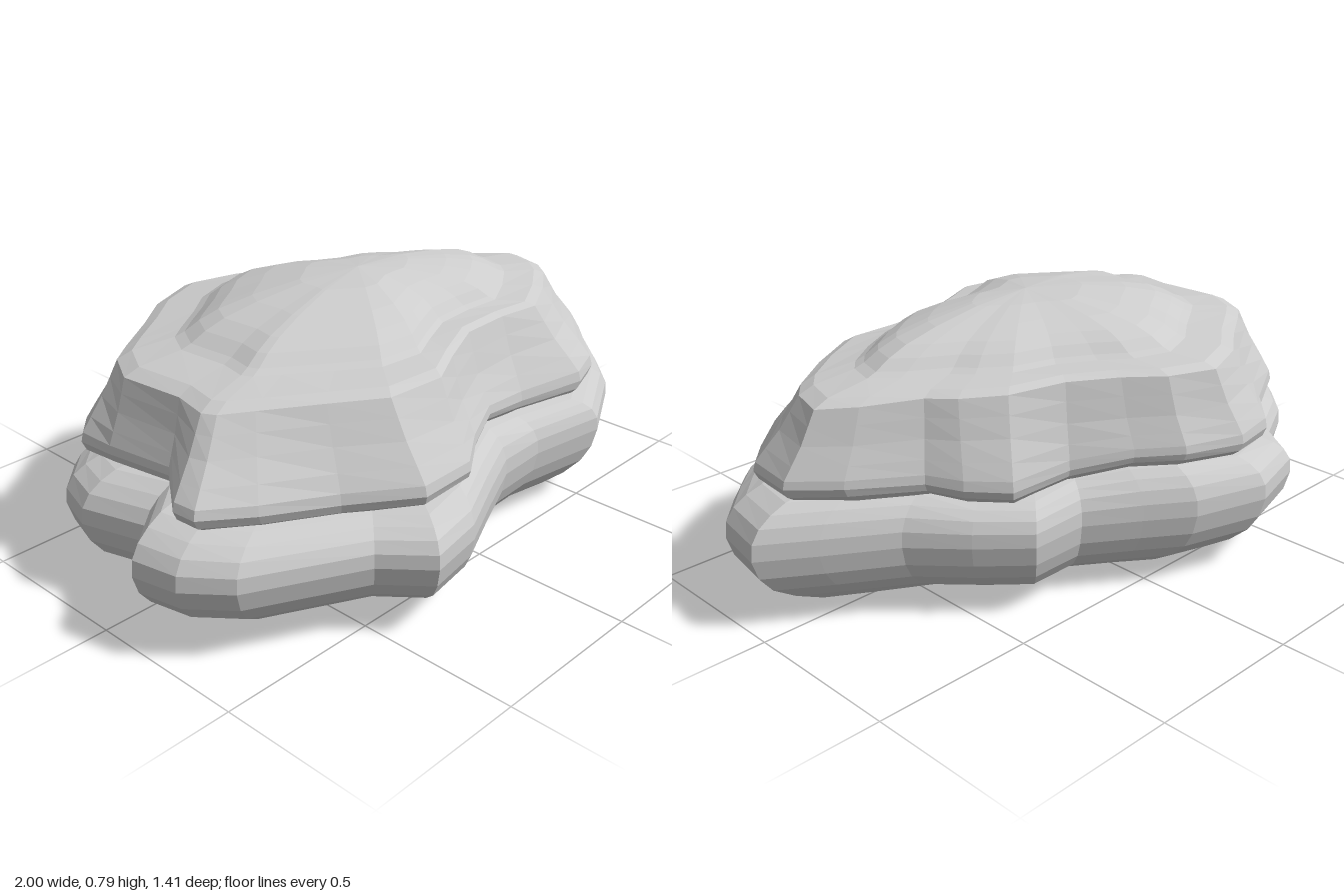
import * as THREE from 'three';

// Plan outlines [x, z], matched point by point, running from +x towards +z
const base = [[1, .03], [.97, .2], [.88, .3], [.77, .41], [.53, .54], [.27, .5], [.1, .51],
  [-.08, .59], [-.25, .67], [-.43, .7], [-.54, .57], [-.87, .4], [-.97, .28], [-1, .14],
  [-.87, .03], [-.93, -.17], [-.89, -.3], [-.79, -.4], [-.61, -.49], [-.5, -.65], [-.29, -.71],
  [-.06, -.64], [.07, -.55], [.22, -.45], [.4, -.45], [.53, -.33], [.66, -.19], [.85, -.07]];
const ledge = [[.89, .02], [.87, .19], [.79, .28], [.64, .43], [.52, .47], [.27, .43], [.1, .44],
  [-.08, .53], [-.2, .61], [-.37, .6], [-.55, .46], [-.75, .36], [-.89, .27], [-.9, .2],
  [-.79, .05], [-.82, -.17], [-.82, -.3], [-.75, -.38], [-.56, -.48], [-.43, -.6], [-.26, -.64],
  [-.06, -.59], [.06, -.5], [.22, -.4], [.42, -.38], [.52, -.29], [.58, -.2], [.77, -.09]];
const rim = [[.78, .01], [.75, .12], [.7, .18], [.57, .27], [.42, .35], [.27, .34], [.1, .35],
  [-.06, .42], [-.18, .48], [-.36, .46], [-.5, .36], [-.65, .25], [-.73, .19], [-.75, .15],
  [-.73, .04], [-.75, -.17], [-.69, -.28], [-.62, -.33], [-.48, -.42], [-.36, -.51], [-.2, -.57],
  [-.05, -.52], [.06, -.44], [.2, -.36], [.37, -.31], [.48, -.23], [.54, -.16], [.69, -.07]];

// A ring is an outline scaled about the centre; lift raises or lowers its far
// ends and wave makes it rise and fall four times around
const ring = (outline, s, y, lift = 0, wave = 0) => outline.map(([x, z]) =>
  new THREE.Vector3(x * s,
    y + lift * (Math.hypot(x, z) - 0.65) + wave * Math.cos(4 * Math.atan2(z, x)), z * s));
const blend = (t) => ledge.map(([x, z], i) =>
  [x + (rim[i][0] - x) * t, z + (rim[i][1] - z) * t]);

// Skin stacked rings with flat facets, closed by centre points below and above
function loft(rings, bottomY, topY) {
  const pos = [];
  const tri = (...pts) => pts.forEach((p) => pos.push(p.x, p.y, p.z));
  const n = rings[0].length;
  const low = new THREE.Vector3(0, bottomY, 0);
  const high = new THREE.Vector3(0, topY, 0);
  const last = rings[rings.length - 1];
  for (let i = 0; i < n; i++) {
    const j = (i + 1) % n;
    for (let k = 0; k < rings.length - 1; k++) {
      const a = rings[k], b = rings[k + 1];
      tri(a[i], b[i], b[j]);
      tri(a[i], b[j], a[j]);
    }
    tri(low, rings[0][i], rings[0][j]);
    tri(high, last[j], last[i]);
  }
  const geo = new THREE.BufferGeometry();
  geo.setAttribute('position', new THREE.Float32BufferAttribute(pos, 3));
  geo.computeVertexNormals();
  return geo;
}

export function createModel() {
  const group = new THREE.Group();
  group.name = 'rock';
  const stone = new THREE.MeshStandardMaterial({ color: 0xcccccc });
  stone.name = 'light grey stone';
  const add = (name, geo) => {
    const mesh = new THREE.Mesh(geo, stone);
    mesh.name = name;
    group.add(mesh);
  };

  // Rounded lower slab, rising into a wavy seam under the upper layer
  add('lowerSlab', loft([
    ring(base, 0.62, 0.014, -0.04), ring(base, 0.78, 0.045, -0.02), ring(base, 0.87, 0.08),
    ring(base, 0.94, 0.125), ring(base, 0.98, 0.175), ring(base, 1, 0.235),
    ring(base, 0.995, 0.28, 0, 0.004), ring(base, 0.97, 0.315, 0, 0.008),
    ring(base, 0.93, 0.34, 0, 0.012), ring(base, 0.88, 0.358, 0, 0.016),
    ring(base, 0.8, 0.37, 0, 0.016),
  ], 0.025, 0.375));

  // Stepped upper layer with a flared wall and a low dome
  add('upperLayer', loft([
    ring(ledge, 0.94, 0.352, -0.03, 0.018), ring(ledge, 0.985, 0.376, -0.02, 0.018),
    ring(ledge, 1, 0.4, 0, 0.016), ring(blend(0.05), 1, 0.428, 0, 0.012),
    ring(blend(0.27), 1, 0.47, 0, 0.006), ring(blend(0.57), 1, 0.525),
    ring(blend(0.8), 1, 0.58, -0.03), ring(rim, 1, 0.628, -0.06),
    ring(rim, 0.94, 0.646, -0.04), ring(rim, 0.77, 0.66), ring(rim, 0.73, 0.672),
    ring(rim, 0.67, 0.699), ring(rim, 0.59, 0.724), ring(rim, 0.45, 0.75),
    ring(rim, 0.25, 0.775),
  ], 0.36, 0.787));

  return group;
}
